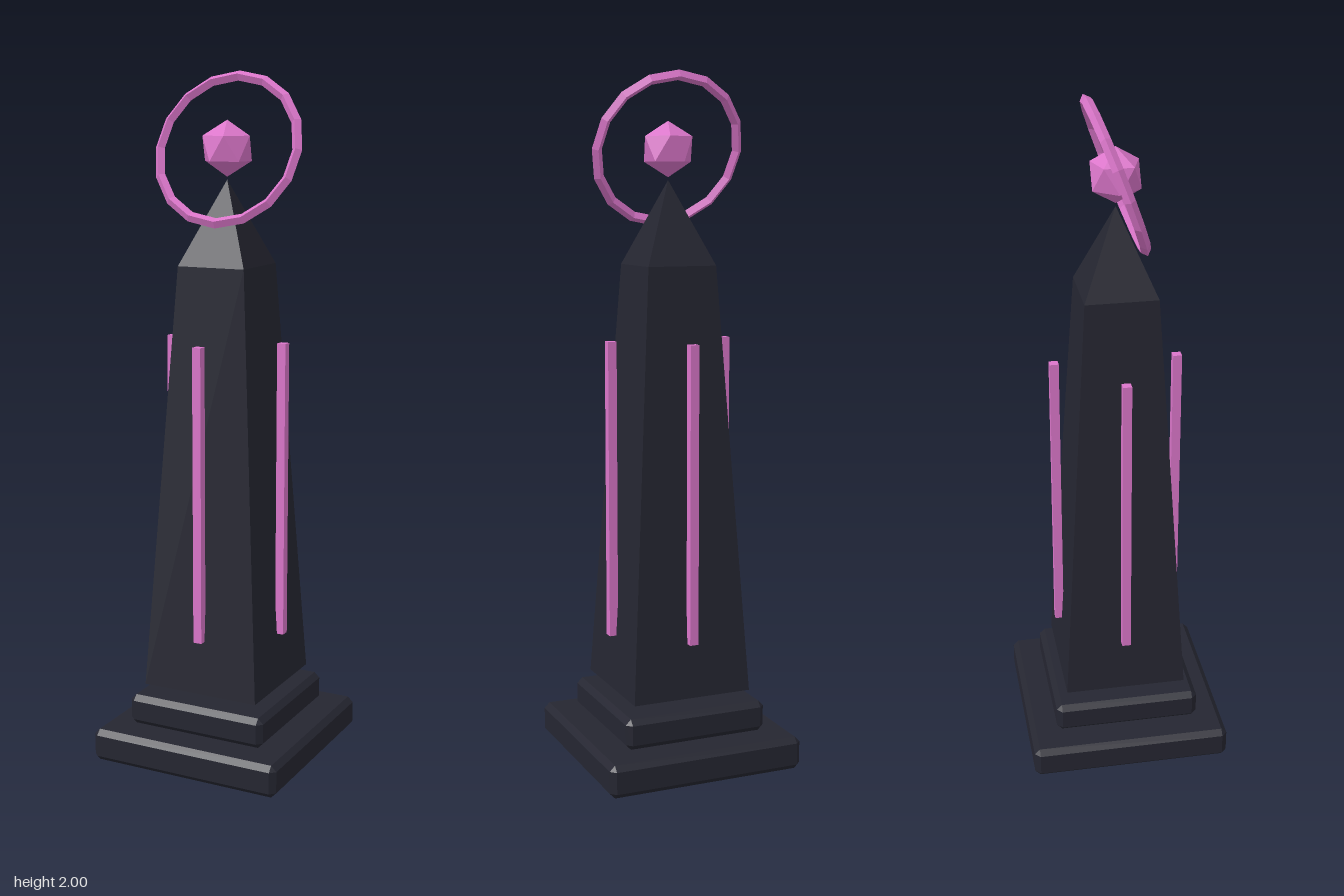
import * as THREE from 'three';
import { ConvexGeometry } from 'three/addons/geometries/ConvexGeometry.js';

const stone = new THREE.MeshStandardMaterial({ color: 0x252631, flatShading: true });
stone.name = 'dark stone';
const glow = new THREE.MeshStandardMaterial({ color: 0xdb76ca, flatShading: true });
glow.name = 'pink crystal';

// Box with every edge chamfered by c
function chamferBox(w, h, d, c) {
  const half = [w / 2, h / 2, d / 2];
  const points = [];
  for (const sx of [-1, 1]) for (const sy of [-1, 1]) for (const sz of [-1, 1]) {
    for (let axis = 0; axis < 3; axis++) {
      const p = half.map((v, i) => (i === axis ? v : v - c));
      points.push(new THREE.Vector3(p[0] * sx, p[1] * sy, p[2] * sz));
    }
  }
  return new ConvexGeometry(points);
}

// Square tapered block, given by half widths
function taper(topHalf, bottomHalf, height) {
  return new THREE.CylinderGeometry(topHalf * Math.SQRT2, bottomHalf * Math.SQRT2, height, 4)
    .rotateY(Math.PI / 4);
}

// Icosahedron with one corner pointing straight up
function uprightIcosahedron(r) {
  const points = [new THREE.Vector3(0, r, 0), new THREE.Vector3(0, -r, 0)];
  const ring = r * 2 / Math.sqrt(5), y = r / Math.sqrt(5);
  for (let i = 0; i < 10; i++) {
    const a = i * Math.PI / 5;
    points.push(new THREE.Vector3(ring * Math.cos(a), i % 2 ? -y : y, ring * Math.sin(a)));
  }
  return new ConvexGeometry(points);
}

export function createModel() {
  const model = new THREE.Group();
  model.name = 'obelisk';
  const add = (name, geometry, material, x, y, z) => {
    const mesh = new THREE.Mesh(geometry, material);
    mesh.name = name;
    mesh.position.set(x, y, z);
    model.add(mesh);
    return mesh;
  };

  // Stepped plinth
  add('lowerPlinth', chamferBox(0.594, 0.096, 0.594, 0.016), stone, 0, 0.048, 0);
  add('upperPlinth', chamferBox(0.434, 0.09, 0.434, 0.016), stone, 0, 0.146, 0);

  // Tapered shaft floating just above the plinth, with a pointed cap
  add('shaft', taper(0.104, 0.181, 1.24), stone, 0, 0.84, 0);
  add('cap', taper(0, 0.104, 0.24), stone, 0, 1.58, 0);

  // One upright glowing bar on each side
  for (let i = 0; i < 4; i++) {
    const a = i * Math.PI / 2;
    add('glowBar', new THREE.BoxGeometry(0.026, 0.865, 0.026), glow,
      0.178 * Math.sin(a), 0.813, 0.178 * Math.cos(a));
  }

  // Floating crystal and the tilted ring around it
  add('crystal', uprightIcosahedron(0.079), glow, 0, 1.787, 0);
  const halo = add('ring', new THREE.TorusGeometry(0.216, 0.015, 4, 16), glow, 0, 1.785, 0);
  halo.rotation.x = -0.35;

  return model;
}
